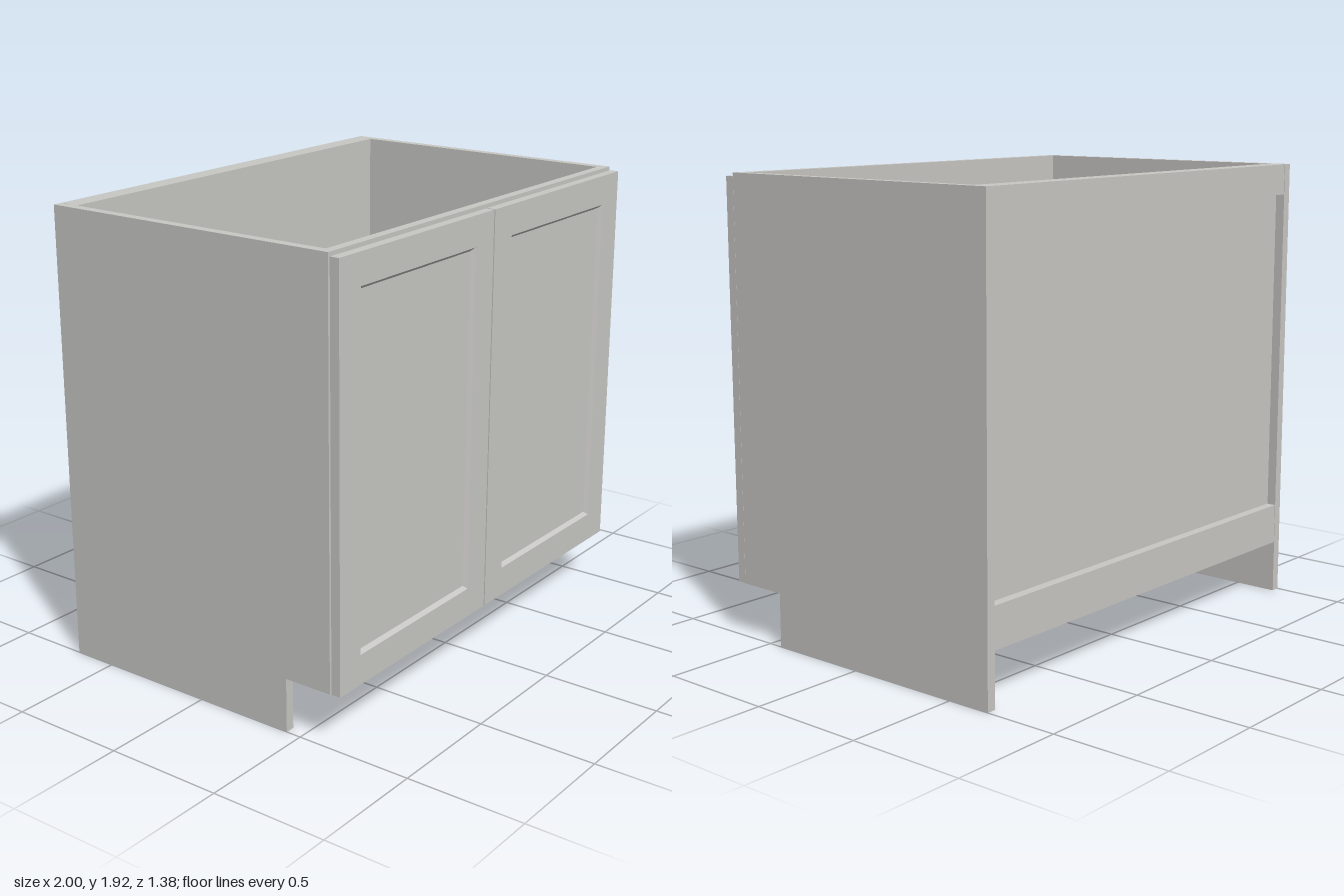
import * as THREE from 'three';

const paint = new THREE.MeshStandardMaterial({ color: 0xc8c7c4 });
paint.name = 'warm grey paint';

// Box given by its min and max on each axis
function board(name, x0, x1, y0, y1, z0, z1) {
  const mesh = new THREE.Mesh(new THREE.BoxGeometry(x1 - x0, y1 - y0, z1 - z0), paint);
  mesh.position.set((x0 + x1) / 2, (y0 + y1) / 2, (z0 + z1) / 2);
  mesh.name = name;
  return mesh;
}

// Door slab with a bevelled recessed panel: rectangles lofted from back to front to panel
function doorGeometry(w, h) {
  const frameX = 0.127, frameY = 0.125, bevel = 0.014;
  const rings = [
    [0, 0, 0.65],
    [0, 0, 0.69],
    [frameX, frameY, 0.69],
    [frameX + bevel, frameY + bevel, 0.674],
  ].map(([ix, iy, z]) => {
    const x = w / 2 - ix, y = h / 2 - iy;
    return [[-x, -y, z], [x, -y, z], [x, y, z], [-x, y, z]];
  });
  const pos = [];
  const quad = (a, b, c, d) => pos.push(...a, ...b, ...c, ...a, ...c, ...d);
  for (let r = 0; r < rings.length - 1; r++) {
    for (let i = 0; i < 4; i++) {
      const j = (i + 1) % 4;
      quad(rings[r][i], rings[r][j], rings[r + 1][j], rings[r + 1][i]);
    }
  }
  const back = rings[0], panel = rings[3];
  quad(back[3], back[2], back[1], back[0]);
  quad(panel[0], panel[1], panel[2], panel[3]);
  const geo = new THREE.BufferGeometry();
  geo.setAttribute('position', new THREE.Float32BufferAttribute(pos, 3));
  geo.computeVertexNormals();
  return geo;
}

export function createModel() {
  const model = new THREE.Group();
  model.name = 'baseCabinet';

  // Side panels, notched at the toe space (profile drawn in z, y)
  const profile = new THREE.Shape([
    [-0.69, 0], [0.435, 0], [0.435, 0.228], [0.645, 0.228], [0.645, 1.92], [-0.69, 1.92],
  ].map(([z, y]) => new THREE.Vector2(-z, y)));
  const sideGeo = new THREE.ExtrudeGeometry(profile, { depth: 0.04, bevelEnabled: false });
  sideGeo.rotateY(Math.PI / 2);
  for (const [name, x] of [['rightSide', -1], ['leftSide', 0.96]]) {
    const side = new THREE.Mesh(sideGeo, paint);
    side.position.x = x;
    side.name = name;
    model.add(side);
  }

  // Carcass: open top, recessed back with two rails, front rail and stretcher
  const a = -0.96, b = 0.96;
  model.add(
    board('floor', a, b, 0.228, 0.268, -0.65, 0.645),
    board('backPanel', a, b, 0.228, 1.92, -0.65, -0.605),
    board('backTopRail', a + 0.003, b, 1.79, 1.92, -0.69, -0.65),
    board('backBottomRail', a + 0.003, b, 0.228, 0.4, -0.69, -0.65),
    board('frontRail', a, b, 1.66, 1.92, 0.605, 0.645),
    board('stretcher', a, b, 1.66, 1.7, 0.42, 0.605),
  );

  // Pair of doors
  const doorGeo = doorGeometry(0.993, 1.677);
  for (const [name, s] of [['rightDoor', -1], ['leftDoor', 1]]) {
    const door = new THREE.Mesh(doorGeo, paint);
    door.position.set(s * 0.5, 0.228 + 1.677 / 2, 0);
    door.name = name;
    model.add(door);
  }
  return model;
}
